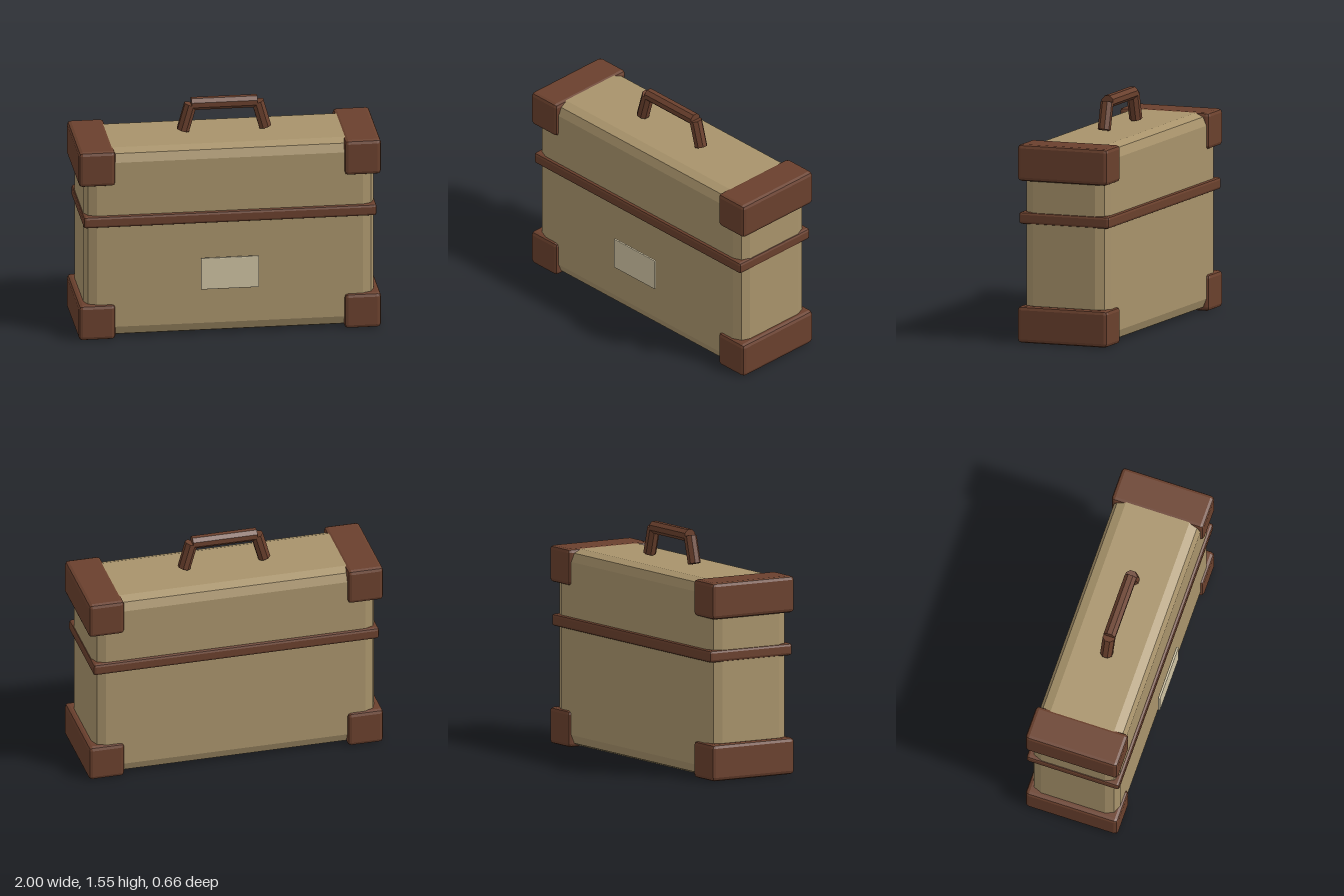
import * as THREE from 'three';
import { RoundedBoxGeometry } from 'three/addons/geometries/RoundedBoxGeometry.js';

const material = (name, color) => {
  const m = new THREE.MeshStandardMaterial({ color, flatShading: true });
  m.name = name;
  return m;
};

export function createModel() {
  const canvas = material('tan canvas', 0xa8936b);
  const leather = material('brown leather', 0x6a402d);
  const paper = material('cream paper', 0xcec2a2);

  const suitcase = new THREE.Group();
  suitcase.name = 'suitcase';
  const midZ = -0.01;

  const add = (name, geometry, mat, x, y, z) => {
    const mesh = new THREE.Mesh(geometry, mat);
    mesh.name = name;
    mesh.position.set(x, y, z);
    suitcase.add(mesh);
    return mesh;
  };
  // box with a two-step bevel on every edge
  const bevelBox = (w, h, d, r) => new RoundedBoxGeometry(w, h, d, 1, r);

  // case and the belt round it
  add('body', bevelBox(1.92, 1.308, 0.6, 0.08), canvas, 0, 0.658, midZ);
  add('strap', bevelBox(1.94, 0.08, 0.642, 0.018), leather, 0, 0.825, midZ);

  // end guards, top and bottom on both sides
  for (const [side, sx] of [['left', 1], ['right', -1]]) {
    for (const [level, y] of [['Top', 1.195], ['Bottom', 0.122]]) {
      add(side + level + 'Guard', bevelBox(0.243, 0.243, 0.64, 0.025), leather, sx * 0.8785, y, midZ);
    }
  }

  // name plate standing just off the front
  add('label', bevelBox(0.385, 0.22, 0.016, 0.006), paper, -0.005, 0.442, 0.326);

  // octagonal handle: grip and two slanted legs
  const rod = (name, a, b) => {
    const from = new THREE.Vector3(...a), to = new THREE.Vector3(...b);
    const dir = to.clone().sub(from);
    const geo = new THREE.CylinderGeometry(0.043, 0.043, dir.length(), 8);
    geo.rotateY(Math.PI / 8);
    const c = from.add(to).multiplyScalar(0.5);
    const mesh = add(name, geo, leather, c.x, c.y, c.z);
    mesh.quaternion.setFromUnitVectors(new THREE.Vector3(0, 1, 0), dir.normalize());
  };
  rod('handleGrip', [-0.218, 1.51, midZ], [0.218, 1.51, midZ]);
  rod('handleLeftLeg', [0.272, 1.33, midZ], [0.222, 1.508, midZ]);
  rod('handleRightLeg', [-0.272, 1.33, midZ], [-0.222, 1.508, midZ]);

  return suitcase;
}
